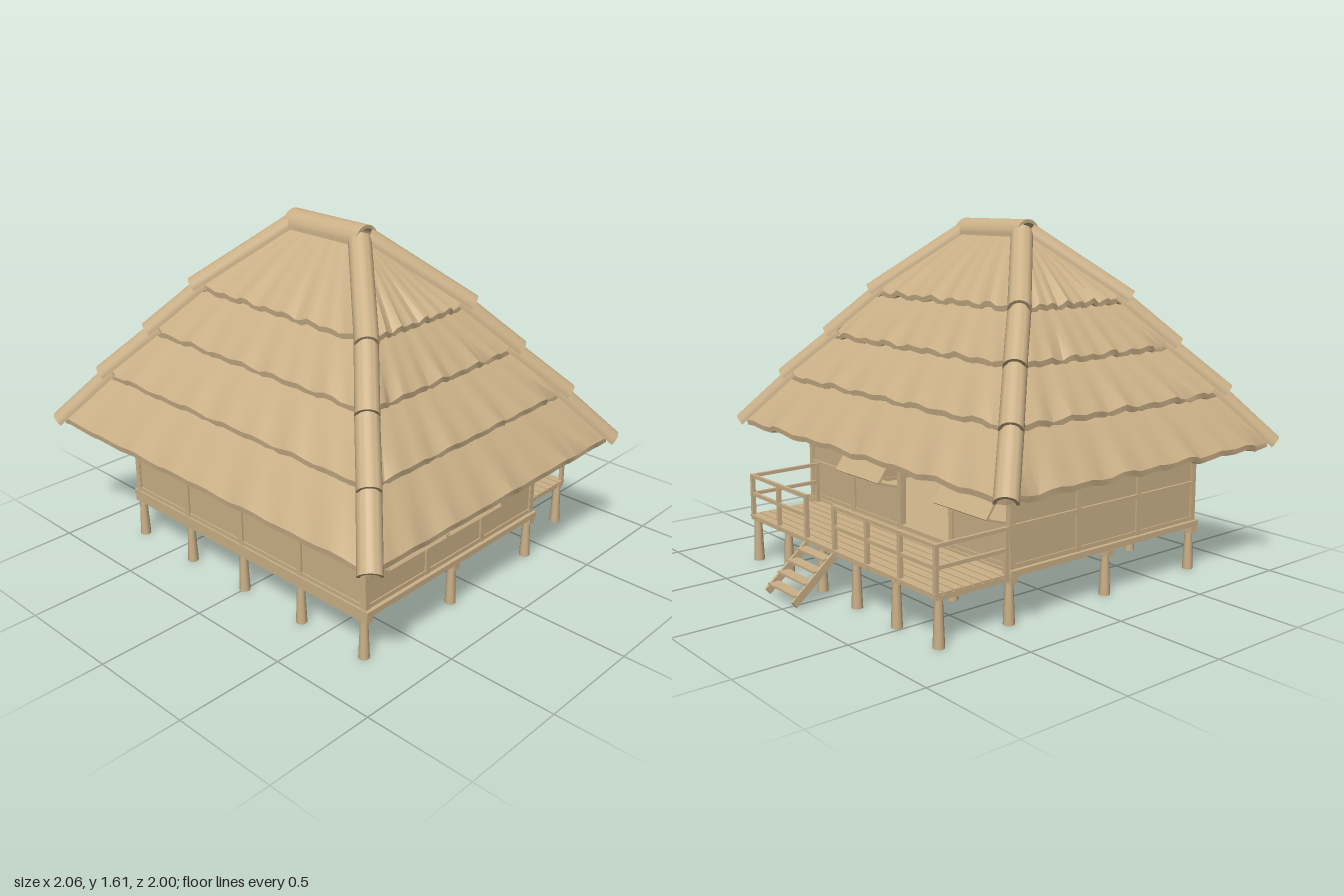
import * as THREE from 'three';
import { toCreasedNormals } from 'three/addons/utils/BufferGeometryUtils.js';

const straw = new THREE.MeshStandardMaterial({ color: 0xcbb188, side: THREE.DoubleSide });
straw.name = 'straw and bamboo';
const V = (x, y, z) => new THREE.Vector3(x, y, z);

function add(parent, name, geometry, x = 0, y = 0, z = 0) {
  const mesh = new THREE.Mesh(geometry, straw);
  mesh.name = name;
  mesh.position.set(x, y, z);
  parent.add(mesh);
  return mesh;
}
const box = (parent, name, w, h, d, x, y, z) => add(parent, name, new THREE.BoxGeometry(w, h, d), x, y, z);

// square bar between two points
function bar(parent, name, a, b, w, h = w) {
  const mesh = new THREE.Mesh(new THREE.BoxGeometry(w, h, a.distanceTo(b)), straw);
  mesh.name = name;
  mesh.position.copy(a).lerp(b, 0.5);
  mesh.lookAt(b);
  parent.add(mesh);
}

// arched thatch cap running from a to b
function archCap(parent, name, a, b, r, t) {
  const s = new THREE.Shape();
  s.absarc(0, 0, r, -0.1, Math.PI + 0.1, false);
  s.absarc(0, 0, r - t, Math.PI + 0.1, -0.1, true);
  const g = new THREE.ExtrudeGeometry(s, { depth: a.distanceTo(b), bevelEnabled: false, curveSegments: 8 });
  const mesh = new THREE.Mesh(toCreasedNormals(g, 0.7), straw);
  mesh.name = name;
  mesh.position.copy(a);
  mesh.lookAt(b);
  parent.add(mesh);
}

// rectangular ring with a ragged edge
const SIDE = 28;
function ring(hx, hz, y, amp, seed) {
  const corners = [[-1, 1], [1, 1], [1, -1], [-1, -1]];
  const pts = [];
  for (let s = 0; s < 4; s++) {
    const [ax, az] = corners[s], [bx, bz] = corners[(s + 1) % 4];
    for (let i = 0; i < SIDE; i++) {
      const t = i / SIDE, p = (s + t) * Math.PI / 2;
      const w = amp * (0.7 * Math.sin(p * 32 + seed) + 0.4 * Math.sin(p * 19 + seed * 2.3));
      const k = 1 + w * 0.9;
      pts.push(V((ax + (bx - ax) * t) * hx * k, y + w, (az + (bz - az) * t) * hz * k));
    }
  }
  return pts;
}

function loft(rings) {
  const n = rings[0].length, pos = [], idx = [];
  rings.forEach(r => r.forEach(p => pos.push(p.x, p.y, p.z)));
  for (let r = 0; r < rings.length - 1; r++) {
    for (let i = 0; i < n; i++) {
      const j = (i + 1) % n, a = r * n + i, b = r * n + j;
      idx.push(a, b, a + n, b, b + n, a + n);
    }
  }
  const g = new THREE.BufferGeometry();
  g.setAttribute('position', new THREE.Float32BufferAttribute(pos, 3));
  g.setIndex(idx);
  return toCreasedNormals(g, 0.6);
}

function makeRoof() {
  const roof = new THREE.Group();
  roof.name = 'thatchedRoof';
  // half width, half depth and lower edge of each tier
  const tiers = [[0.98, 0.79, 0.588], [0.83, 0.635, 0.818], [0.67, 0.475, 1.028], [0.52, 0.32, 1.235]];
  tiers.forEach(([hx, hz, y], i) => {
    const next = tiers[i + 1];
    const top = next ? [next[0] - 0.02, next[1] - 0.02, next[2] + 0.012] : [0.2, 0.03, 1.55];
    const mid = [0, 1, 2].map(k => [hx, hz, y + 0.025][k] * 0.5 + top[k] * 0.5);
    add(roof, 'thatchTier', loft([
      ring(top[0] - 0.02, Math.max(top[1] - 0.02, 0.01), top[2] - 0.03, 0, i),
      ring(hx - 0.03, hz - 0.03, y, 0.013, i * 1.7),
      ring(hx - 0.003, hz - 0.003, y, 0.013, i * 1.7),
      ring(hx, hz, y + 0.025, 0.013, i * 1.7),
      ring(mid[0], mid[1], mid[2] + 0.008, 0.003, i * 1.7),
      ring(top[0], top[1], top[2], 0, i),
    ]));
    // hip rolls over the four corners
    const end = next ? V(next[0] - 0.03, next[2] + 0.03, next[1] - 0.03) : V(0.2, 1.545, 0.02);
    const start = V(hx, y + 0.025, hz);
    start.addScaledVector(start.clone().sub(end).normalize(), 0.018);
    for (const sx of [-1, 1]) for (const sz of [-1, 1]) {
      const m = V(sx, 1, sz);
      archCap(roof, 'hipRoll', start.clone().multiply(m), end.clone().multiply(m), 0.05, 0.014);
    }
  });
  archCap(roof, 'ridgeCap', V(-0.22, 1.54, 0), V(0.22, 1.54, 0), 0.07, 0.015);
  roof.position.z = 0.18;
  return roof;
}

// timber wall facing +z; bays: 'c' closed, 'o' open, 'w' window with raised shutter, 'd' doorway
function makeWall(name, bays) {
  const wall = new THREE.Group(), bw = 0.37, L = bays.length * bw, top = 0.74;
  wall.name = name;
  for (let i = 0; i <= bays.length; i++) {
    box(wall, 'wallPost', 0.026, top - 0.235, 0.03, -L / 2 + i * bw, (top + 0.235) / 2, 0);
  }
  box(wall, 'topPlate', L, 0.03, 0.03, 0, top, 0);
  box(wall, 'lintel', L, 0.02, 0.022, 0, 0.612, 0);
  box(wall, 'sill', L, 0.02, 0.024, 0, 0.245, 0);
  [...bays].forEach((kind, i) => {
    const x = -L / 2 + (i + 0.5) * bw;
    box(wall, 'upperPanel', bw, top - 0.61, 0.012, x, (top + 0.61) / 2, 0);
    if (kind === 'd') return;
    box(wall, 'lowerPanel', bw, 0.175, 0.012, x, 0.3225, 0);
    box(wall, 'middleRail', bw, 0.02, 0.034, x, 0.413, 0);
    if (kind === 'c') box(wall, 'middlePanel', bw, 0.21, 0.012, x, 0.51, 0);
    if (kind === 'w') {
      bar(wall, 'shutter', V(x, 0.6, 0.012), V(x, 0.455, 0.115), 0.345, 0.01);
      for (const s of [-0.165, 0.165]) bar(wall, 'shutterStrut', V(x + s, 0.455, 0.11), V(x + s, 0.425, 0.01), 0.008);
    }
    if (kind === 'o') {
      // sliding lattice covering one half
      for (const dx of [0.01, 0.09, 0.165]) box(wall, 'latticeUpright', 0.012, 0.185, 0.012, x + dx, 0.512, 0);
      for (const y of [0.43, 0.49, 0.55]) box(wall, 'latticeBar', 0.165, 0.01, 0.01, x + 0.088, y, 0);
      box(wall, 'windowStop', 0.025, 0.19, 0.02, x - 0.08, 0.51, -0.01);
    }
  });
  return wall;
}

function stilt(parent, x, z, h) {
  const m = add(parent, 'stilt', new THREE.CylinderGeometry(0.017, 0.025, h, 10), x, h / 2, z);
  m.rotation.y = x * 7;
}

function makeDeck() {
  const deck = new THREE.Group();
  deck.name = 'backDeck';
  const x0 = -0.76, x1 = 0.67, cx = (x0 + x1) / 2, w = x1 - x0;
  for (let i = 0; i < 8; i++) box(deck, 'deckPlank', w, 0.01, 0.041, cx, 0.22, -0.415 - i * 0.0485);
  for (const z of [-0.41, -0.745]) box(deck, 'deckBeam', w, 0.02, 0.025, cx, 0.204, z);
  for (const x of [-0.745, -0.47, -0.185, 0.085, 0.37, 0.65]) {
    stilt(deck, x, -0.745, 0.2);
    box(deck, 'deckJoist', 0.022, 0.02, 0.36, x, 0.203, -0.58);
  }
  // railing with a gap for the stair
  const post = (x, z) => box(deck, 'railPost', 0.018, 0.22, 0.018, x, 0.31, z);
  for (const x of [-0.75, -0.52, -0.29, -0.045, 0.18, 0.42, 0.66]) post(x, -0.762);
  for (const x of [-0.75, 0.66]) {
    post(x, -0.408);
    for (const y of [0.325, 0.412]) box(deck, 'endRail', 0.014, 0.016, 0.36, x, y, -0.585);
  }
  for (const [a, b] of [[-0.76, -0.04], [0.175, 0.67]]) {
    for (const y of [0.325, 0.412]) box(deck, 'backRail', b - a, 0.016, 0.014, (a + b) / 2, y, -0.762);
  }
  // stair
  for (const x of [-0.043, 0.177]) bar(deck, 'stairStringer', V(x, 0.195, -0.765), V(x, 0.022, -0.968), 0.012, 0.036);
  for (let i = 0; i < 4; i++) box(deck, 'stairTread', 0.22, 0.009, 0.052, 0.067, 0.185 - i * 0.043, -0.795 - i * 0.048);
  return deck;
}

export function createModel() {
  const hut = new THREE.Group();
  hut.name = 'stiltHut';
  hut.add(makeRoof());

  // floor on beams and stilts
  box(hut, 'floor', 1.54, 0.026, 1.15, 0, 0.223, 0.18);
  for (const z of [0.735, 0.18, -0.375]) {
    box(hut, 'floorBeam', 1.53, 0.032, 0.035, 0, 0.194, z);
    for (const x of z === 0.18 ? [-0.74, 0.74] : [-0.74, -0.37, 0, 0.37, 0.74]) stilt(hut, x * 0.99, z, 0.19);
  }

  // four walls
  [['frontWall', 'coccc'.slice(0, 4), 0, 0, 0.735], ['rightWall', 'wwc', Math.PI / 2, 0.74, 0.18],
    ['backWall', 'cwdw', Math.PI, 0, -0.375], ['leftWall', 'ccc', -Math.PI / 2, -0.74, 0.18]].forEach(([name, bays, turn, x, z]) => {
    const wall = makeWall(name, bays);
    wall.rotation.y = turn;
    wall.position.set(x, 0, z);
    hut.add(wall);
  });

  hut.add(makeDeck());
  return hut;
}
